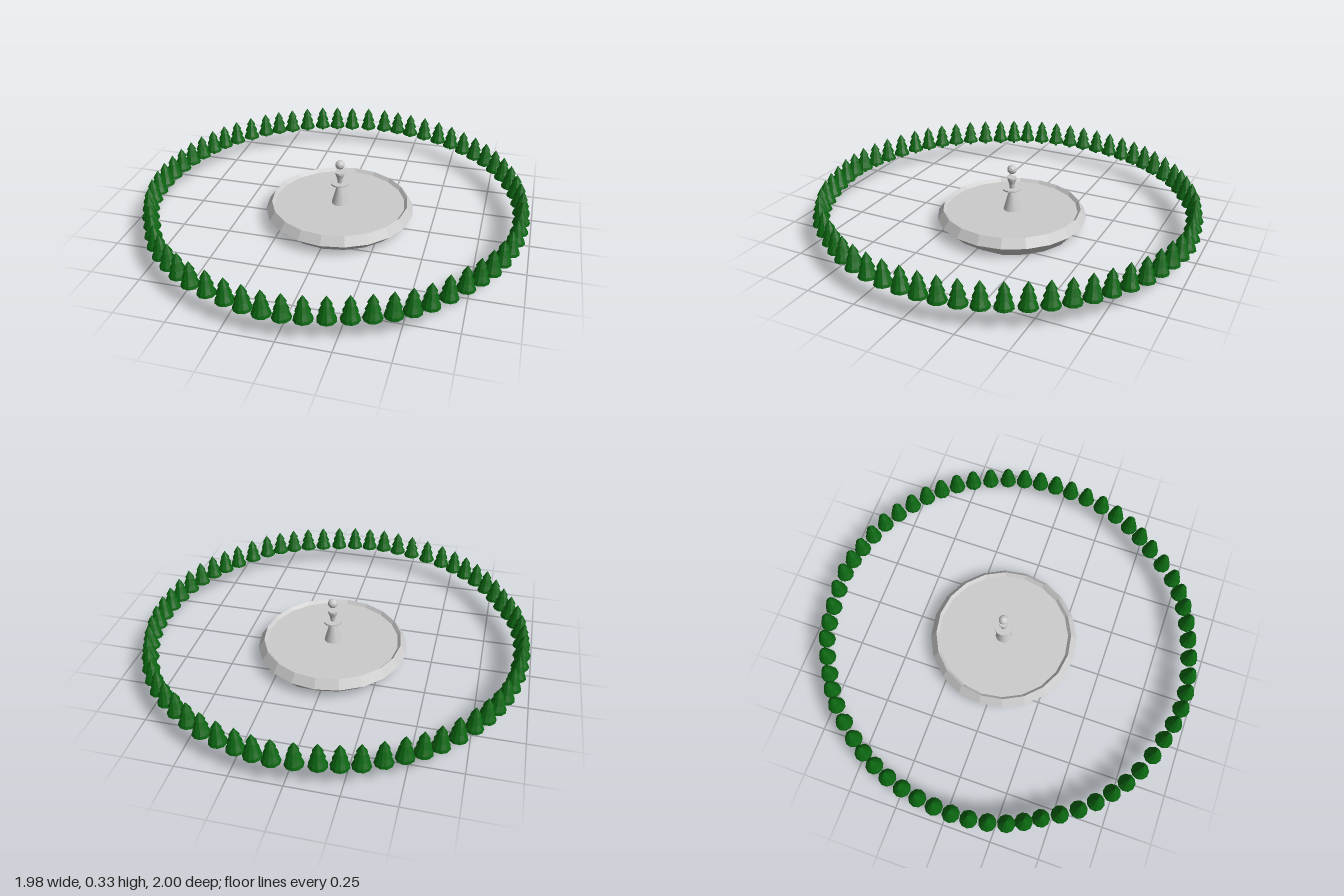
import * as THREE from 'three';

const grey = new THREE.MeshStandardMaterial({ color: 0xcccccc, flatShading: true });
const smoothGrey = new THREE.MeshStandardMaterial({ color: 0xcccccc });
const green = new THREE.MeshStandardMaterial({ color: 0x0a6410, flatShading: true });

function lathe(name, profile, sides, material) {
  const points = profile.map(([r, y]) => new THREE.Vector2(r, y));
  const mesh = new THREE.Mesh(new THREE.LatheGeometry(points, sides), material);
  mesh.name = name;
  return mesh;
}

// Slightly irregular ring along which the trees stand (x, z in hundredths)
const ring = [
  [6, -96], [23, -93], [41, -87], [57, -77], [71, -65], [82, -50], [90, -32], [94, -14],
  [94, 4], [91, 23], [84, 41], [74, 56], [61, 72], [47, 82], [30, 89], [11, 94],
  [-7, 95], [-25, 91], [-44, 84], [-59, 74], [-72, 61], [-82, 45], [-90, 30], [-94, 12],
  [-94, -6], [-91, -24], [-85, -41], [-76, -56], [-63, -71], [-49, -81], [-32, -90], [-14, -94],
];

function createTrees() {
  const trees = new THREE.Group();
  trees.name = 'treeRing';
  const path = new THREE.CatmullRomCurve3(
    ring.map(([x, z]) => new THREE.Vector3(x / 100, 0, z / 100)), true, 'catmullrom');
  // Trunk and three overlapping tiers of foliage in one profile
  const profile = [
    [0, 0.076], [0.008, 0.076], [0.008, 0.1], [0.045, 0.098], [0.041, 0.112], [0.021, 0.146],
    [0.035, 0.143], [0.015, 0.184], [0.025, 0.18], [0, 0.223],
  ];
  const count = ring.length * 2;
  for (let i = 0; i < count; i++) {
    const tree = lathe('tree', profile, 10, green);
    tree.position.copy(path.getPoint(i / count));
    tree.rotation.y = -i * Math.PI * 2 / count;
    trees.add(tree);
  }
  return trees;
}

function createFountain() {
  const fountain = new THREE.Group();
  fountain.name = 'fountain';

  // Hollow faceted basin wall, open underneath
  const basin = lathe('basinWall', [
    [0.315, 0.01], [0.333, 0.01], [0.386, 0.06], [0.355, 0.105], [0.338, 0.085], [0.315, 0.01],
  ], 20, grey);
  // The foot sags a little towards one corner
  const pos = basin.geometry.attributes.position;
  for (let i = 0; i < pos.count; i++) {
    if (pos.getY(i) > 0.02) continue;
    const side = (pos.getX(i) - pos.getZ(i)) / Math.SQRT2;
    if (side > 0.28) pos.setY(i, 0);
  }
  basin.geometry.computeVertexNormals();

  // Water surface, seen from above and below
  const water = new THREE.Mesh(new THREE.CylinderGeometry(0.34, 0.34, 0.004, 20), grey);
  water.name = 'waterSurface';
  water.position.y = 0.086;

  // Pedestal, upper dish and cup
  const pedestal = lathe('pedestal', [
    [0, 0.082], [0.043, 0.082], [0.043, 0.09], [0.016, 0.188],
  ], 16, smoothGrey);
  const dish = lathe('upperDish', [
    [0, 0.186], [0.018, 0.186], [0.047, 0.198], [0.047, 0.206], [0, 0.206],
  ], 16, grey);
  const cup = lathe('cup', [
    [0.011, 0.2], [0.015, 0.23], [0.024, 0.256], [0.024, 0.266], [0, 0.266],
  ], 16, grey);

  // Faceted ball hovering over the cup
  const ball = new THREE.Mesh(new THREE.IcosahedronGeometry(0.025, 1), grey);
  ball.name = 'ball';
  ball.position.y = 0.309;

  fountain.add(basin, water, pedestal, dish, cup, ball);
  fountain.position.set(0.015, 0, -0.035);
  return fountain;
}

export function createModel() {
  const model = new THREE.Group();
  model.name = 'fountainWithTrees';
  model.add(createTrees(), createFountain());
  return model;
}
